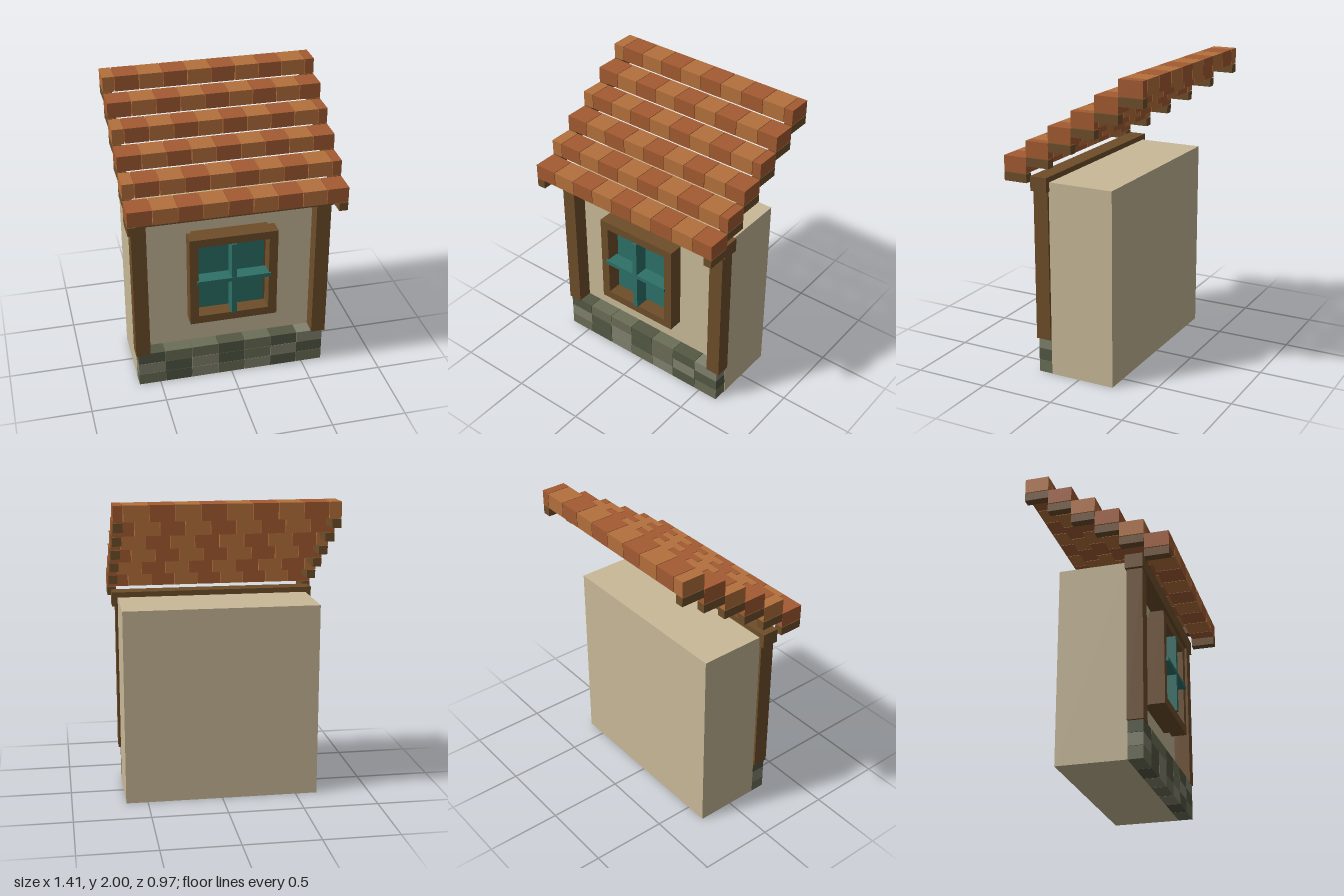
import * as THREE from 'three';

const mat = (color) => new THREE.MeshStandardMaterial({ color });

export function createModel() {
  const model = new THREE.Group();
  const plaster = mat(0xc8b998);
  const wood = mat(0x6e4e2a);
  const teal = mat(0x2d7068);
  const stones = [mat(0x545944), mat(0x6b6e56), mat(0x82826e)];
  const clay = [mat(0xb4703c), mat(0xa35b32)];

  // Box given by its lower and upper limits on each axis
  function box(name, material, [x0, x1], [y0, y1], [z0, z1], parent = model) {
    const mesh = new THREE.Mesh(new THREE.BoxGeometry(x1 - x0, y1 - y0, z1 - z0), material);
    mesh.position.set((x0 + x1) / 2, (y0 + y1) / 2, (z0 + z1) / 2);
    mesh.name = name;
    parent.add(mesh);
  }
  function group(name) {
    const g = new THREE.Group();
    g.name = name;
    model.add(g);
    return g;
  }

  // Wall block
  box('wall', plaster, [-0.645, 0.645], [0, 1.3], [-0.245, 0.2]);

  // Stone footing: three courses of seven blocks, shades listed per course
  const footing = group('stoneFooting');
  const courses = [[1, 0, 2, 1, 2, 0, 1], [2, 0, 2, 0, 1, 2, 0], [0, 1, 1, 0, 1, 0, 2]];
  const pitch = 1.29 / 7;
  courses.forEach((shades, row) => shades.forEach((shade, i) => {
    const x = -0.645 + i * pitch;
    const y = row * 0.083;
    box('stone', stones[shade], [x, x + pitch - 0.003], [y, y + 0.081], [0.2, 0.297], footing);
  }));

  // Timber posts and lintel
  box('rightPost', wood, [-0.66, -0.563], [0.24, 1.25], [0.2, 0.302]);
  box('leftPost', wood, [0.563, 0.66], [0.24, 1.25], [0.2, 0.302]);
  box('lintel', wood, [-0.683, 0.683], [1.24, 1.335], [0.195, 0.31]);

  // Window: backing, frame, pane and crossing bars
  const win = group('window');
  box('windowBacking', wood, [-0.256, 0.256], [0.49, 1.105], [0.2, 0.245], win);
  const frameZ = [0.245, 0.345];
  for (const s of [-1, 1]) {
    const x = s * 0.265;
    const y = 0.797 + s * 0.293;
    box('frameSide', wood, [x - 0.029, x + 0.029], [0.476, 1.118], frameZ, win);
    box('frameRail', wood, [-0.236, 0.236], [y - 0.028, y + 0.028], frameZ, win);
  }
  box('pane', teal, [-0.222, 0.222], [0.545, 1.05], [0.24, 0.262], win);
  box('uprightBar', teal, [-0.017, 0.017], [0.532, 1.062], [0.255, 0.357], win);
  box('crossBar', teal, [-0.247, 0.247], [0.783, 0.81], [0.262, 0.359], win);

  // Roof: six stepped rows of tiles, every other row shifted by half a tile
  const roof = group('roof');
  const tile = 0.1587;
  const edge = 0.704;
  for (let row = 0; row < 6; row++) {
    const top = 1.455 + row * 0.109;
    const front = 0.484 - row * 0.161;
    const z = [front - 0.16, front];
    const half = row % 2;
    for (let i = 0; i < 10; i++) {
      const start = -edge + (i - half * 0.5) * tile;
      const x0 = Math.max(start, -edge);
      const x1 = Math.min(start + tile - 0.004, edge);
      if (x1 - x0 < 0.01) continue;
      box('roofTile', clay[(i + half + 1) % 2], [x0, x1], [top - 0.102, top], z, roof);
    }
    // Stepped rafter ends under both edges of the row
    for (const s of [-1, 1]) {
      const x = s * 0.675;
      box('rafterStep', wood, [x - 0.029, x + 0.029], [top - 0.163, top - 0.107], z, roof);
    }
  }
  return model;
}
